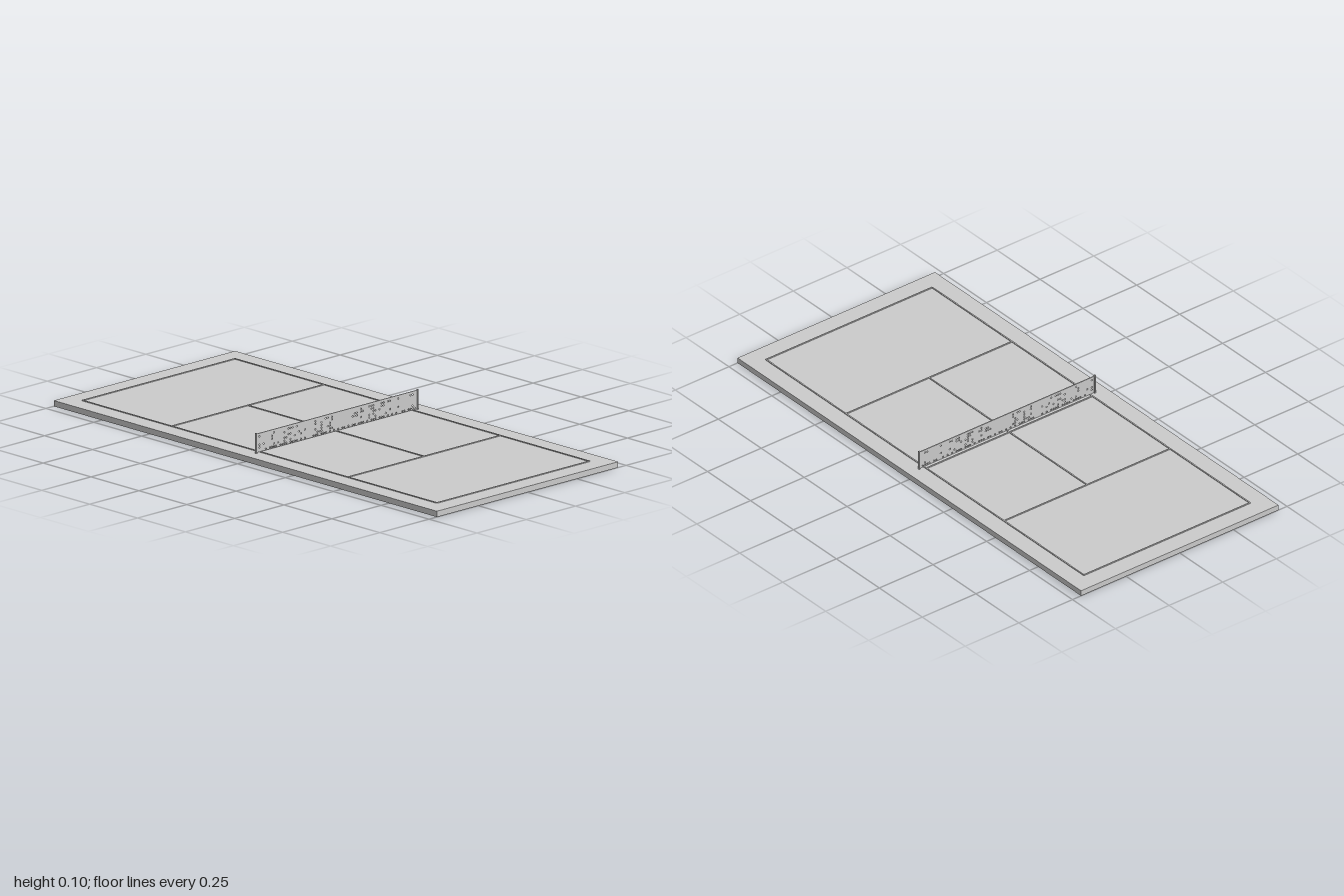
import * as THREE from 'three';

export function createModel() {
  const group = new THREE.Group();
  group.name = 'tennisCourt';
  const material = new THREE.MeshStandardMaterial({ color: 0xcccccc, flatShading: true });

  const add = (name, geometry, x, y, z) => {
    const mesh = new THREE.Mesh(geometry, material);
    mesh.name = name;
    mesh.position.set(x, y, z);
    group.add(mesh);
    return mesh;
  };
  const box = (name, w, h, d, x, y, z) => add(name, new THREE.BoxGeometry(w, h, d), x, y, z);

  // Ground slab
  const top = 0.022;
  box('courtSlab', 0.92, top, 2, 0, top / 2, 0);

  // Painted lines, slightly raised
  const lineW = 0.005, lineH = 0.003, halfW = 0.387, halfL = 0.925, service = 0.46;
  const line = (name, w, d, x, z) => box(name, w, lineH, d, x, top + lineH / 2, z);
  for (const s of [-1, 1]) {
    line('sideLine', lineW, 2 * halfL, s * halfW, 0);
    line('baseLine', 2 * halfW, lineW, 0, s * halfL);
    line('serviceLine', 2 * halfW, lineW, 0, s * service);
  }
  line('centreLine', lineW, 2 * service, 0, 0);
  line('netLine', 2 * halfW, lineW, 0, -0.008);

  // Net panel with an irregular scatter of small mesh openings
  let seed = 7;
  const random = () => (seed = (seed * 16807) % 2147483647) / 2147483647;
  const netZ = 0.005, netHalf = 0.405, netBottom = 0.025, netTop = 0.093;
  const panel = new THREE.Shape([
    new THREE.Vector2(-netHalf, netBottom), new THREE.Vector2(netHalf, netBottom),
    new THREE.Vector2(netHalf, netTop), new THREE.Vector2(-netHalf, netTop),
  ]);
  const cols = 76, rows = 6, pitch = 0.0105;
  for (let c = 0; c < cols; c++) {
    const columnChance = random() < 0.25 ? 0.5 : 0.1;
    for (let r = 0; r < rows; r++) {
      if (random() > (r === 0 ? 0.7 : columnChance)) continue;
      const x = (c - (cols - 1) / 2) * pitch, y = netBottom + 0.006 + r * pitch;
      const points = [];
      for (let i = 0; i < 6; i++) {
        const a = -i * Math.PI / 3;
        points.push(new THREE.Vector2(x + 0.0034 * Math.cos(a), y + 0.0034 * Math.sin(a)));
      }
      panel.holes.push(new THREE.Path(points));
    }
  }
  add('net', new THREE.ExtrudeGeometry(panel, { depth: 0.002, bevelEnabled: false }), 0, 0, netZ - 0.001);

  // Top tape and posts
  box('netTape', 2 * netHalf, 0.004, 0.004, 0, 0.094, netZ);
  for (const s of [-1, 1]) {
    box('netPost', 0.006, 0.077, 0.006, s * 0.409, top + 0.0385, netZ);
  }
  return group;
}
